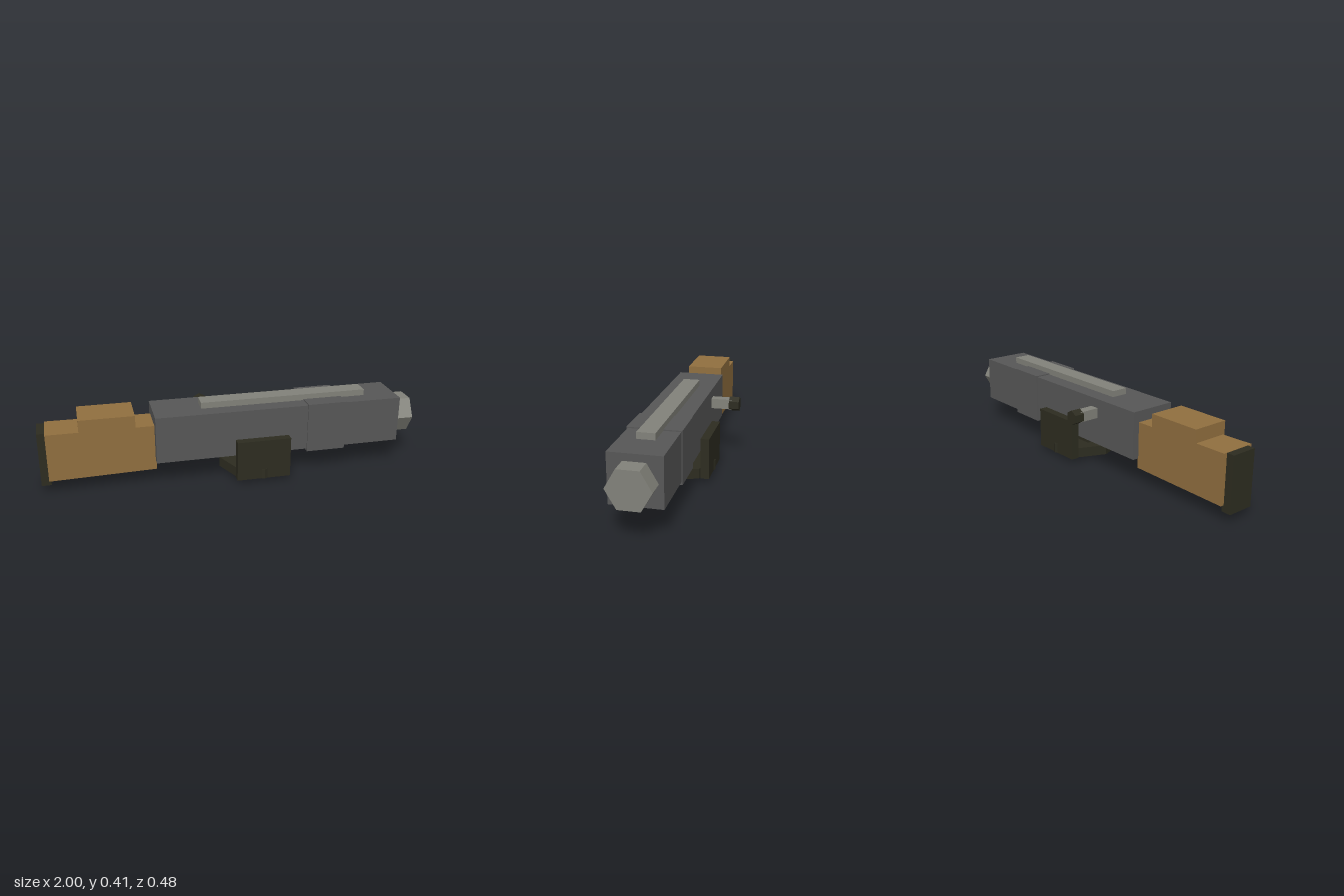
import * as THREE from 'three';

export function createModel() {
  const model = new THREE.Group();
  model.name = 'mountedGun';

  const paint = (name, color) => {
    const m = new THREE.MeshStandardMaterial({ color });
    m.name = name;
    return m;
  };
  const steel = paint('dark grey steel', 0x575757);
  const metal = paint('light grey metal', 0x82827a);
  const wood = paint('brown wood', 0x916f3f);
  const black = paint('olive black', 0x2d2c20);

  const add = (name, geometry, material) => {
    const mesh = new THREE.Mesh(geometry, material);
    mesh.name = name;
    model.add(mesh);
    return mesh;
  };

  // Box given by its lower and upper limits on each axis
  const box = (name, material, [x0, x1], [y0, y1], [z0, z1]) => {
    const mesh = add(name, new THREE.BoxGeometry(x1 - x0, y1 - y0, z1 - z0), material);
    mesh.position.set((x0 + x1) / 2, (y0 + y1) / 2, (z0 + z1) / 2);
    return mesh;
  };

  // Box along x whose two end rectangles differ: [x, y0, y1, z0, z1]
  const taperedBox = (name, material, a, b) => {
    const geometry = new THREE.BoxGeometry(1, 1, 1).toNonIndexed();
    const p = geometry.attributes.position;
    for (let i = 0; i < p.count; i++) {
      const end = p.getX(i) < 0 ? a : b;
      p.setXYZ(i, end[0], end[p.getY(i) < 0 ? 1 : 2], end[p.getZ(i) < 0 ? 3 : 4]);
    }
    geometry.computeVertexNormals();
    return add(name, geometry, material);
  };

  // Prism with flat sides, split so that each facet keeps its own normal
  const prism = (radius, length, sides) => {
    const geometry = new THREE.CylinderGeometry(radius, radius, length, sides).toNonIndexed();
    geometry.computeVertexNormals();
    return geometry;
  };

  // Barrel housing with its band, top rib and muzzle
  taperedBox('housing', steel,
    [-0.415, 0.133, 0.382, -0.087, 0.165], [0.906, 0.135, 0.381, -0.09, 0.166]);
  box('housingBand', steel, [0.39, 0.6], [0.12, 0.387], [-0.095, 0.172]);
  box('topRib', metal, [-0.165, 0.73], [0.37, 0.414], [-0.005, 0.084]);
  const muzzle = add('muzzle', prism(0.107, 0.11, 6).rotateZ(Math.PI / 2), metal);
  muzzle.position.set(0.945, 0.252, 0.04);

  // Stock, cheek rest and butt plate
  taperedBox('stock', wood,
    [-0.96, 0.075, 0.329, -0.054, 0.132], [-0.41, 0.081, 0.324, -0.053, 0.12]);
  box('cheekRest', wood, [-0.795, -0.512], [0.3, 0.395], [-0.059, 0.138]);
  box('buttPlate', black, [-1, -0.95], [0.041, 0.328], [-0.035, 0.105]);

  // Charging handle on the rear side
  box('handleStem', metal, [-0.14, -0.09], [0.28, 0.333], [-0.2, -0.07]);
  const knob = add('handleKnob',
    prism(0.039, 0.054, 6).rotateY(Math.PI).rotateX(Math.PI / 2), black);
  knob.position.set(-0.115, 0.3065, -0.212);

  // Swivel mount: octagonal base, central post and two side plates
  const base = add('mountBase', prism(0.2, 0.053, 8), black);
  base.position.set(0.14, 0.0465, 0.04);
  box('mountPost', black, [0.03, 0.17], [0, 0.15], [-0.014, 0.093]);
  for (const side of [-1, 1]) {
    const z = 0.04 + side * 0.171;
    box(side > 0 ? 'frontPlate' : 'rearPlate', black,
      [-0.005, 0.28], [0.02, 0.235], [z - 0.022, z + 0.022]);
  }

  return model;
}
